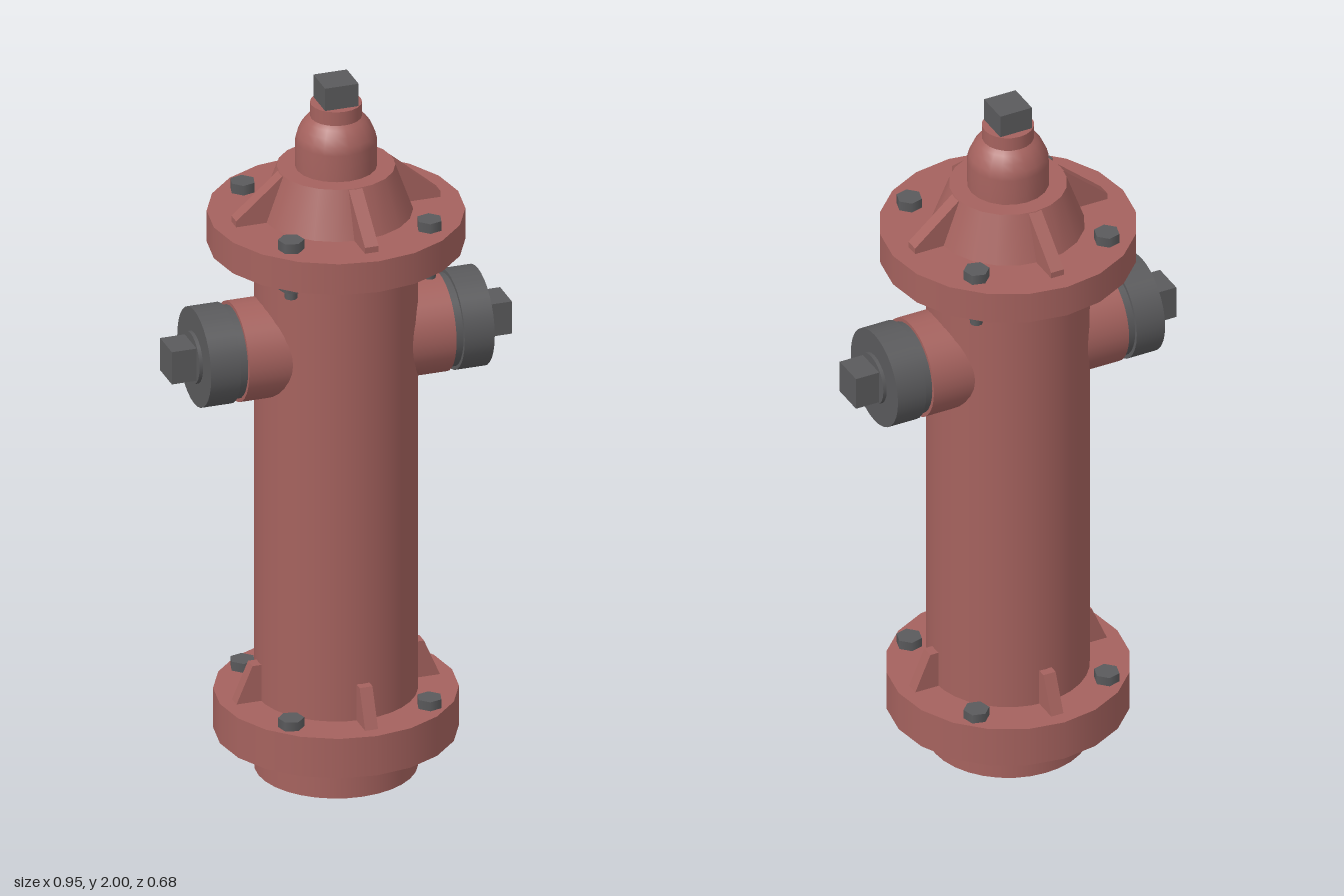
import * as THREE from 'three';

const red = new THREE.MeshStandardMaterial({ color: 0xa5625e, side: THREE.DoubleSide });
red.name = 'faded red paint';
const iron = new THREE.MeshStandardMaterial({ color: 0x5a5a5c });
iron.name = 'dark iron';

export function createModel() {
  const model = new THREE.Group();
  model.name = 'hydrant';

  const add = (name, geometry, material, parent = model) => {
    const mesh = new THREE.Mesh(geometry, material);
    mesh.name = name;
    parent.add(mesh);
    return mesh;
  };
  // Upright cylinder between two heights
  const drum = (name, rBottom, rTop, y0, y1, sides, material, parent = model, open = false) => {
    const mesh = add(name, new THREE.CylinderGeometry(rTop, rBottom, y1 - y0, sides, 1, open), material, parent);
    mesh.position.y = (y0 + y1) / 2;
    return mesh;
  };
  const nut = (name, y0, y1, parent = model) => {
    add(name, new THREE.BoxGeometry(0.094, y1 - y0, 0.094), iron, parent).position.y = (y0 + y1) / 2;
  };

  // Barrel, open underneath with a recessed floor
  drum('barrel', 0.217, 0.217, 0, 1.56, 32, red, model, true);
  const floor = add('barrelFloor', new THREE.CircleGeometry(0.216, 32), red);
  floor.rotation.x = Math.PI / 2;
  floor.position.y = 0.15;

  // Flange rings; the lower one is hollow so the barrel stays open
  const ring = [[0.21, 0.11], [0.325, 0.11], [0.325, 0.11], [0.325, 0.225], [0.325, 0.225], [0.21, 0.225]];
  add('baseFlange', new THREE.LatheGeometry(ring.map(p => new THREE.Vector2(...p)), 20), red);
  drum('topFlange', 0.342, 0.342, 1.53, 1.62, 20, red);

  // Bonnet, dome and collar
  drum('bonnet', 0.204, 0.157, 1.62, 1.75, 20, red);
  const dome = [[0.109, 1.74], [0.109, 1.825], [0.104, 1.846], [0.094, 1.868], [0.081, 1.886], [0.068, 1.896]];
  add('dome', new THREE.LatheGeometry(dome.map(p => new THREE.Vector2(...p)), 20), red);
  drum('collar', 0.069, 0.069, 1.89, 1.935, 20, red);
  nut('operatingNut', 1.93, 2);

  // Gussets: a side profile (radius, height) given thickness
  const gusset = (name, profile, width) => {
    const shape = new THREE.Shape(profile.map(p => new THREE.Vector2(...p)));
    const geometry = new THREE.ExtrudeGeometry(shape, { depth: width, bevelEnabled: false });
    geometry.translate(0, 0, -width / 2);
    for (let i = 0; i < 4; i++) add(name, geometry, red).rotation.y = i * Math.PI / 2;
  };
  gusset('bonnetRib', [[0.14, 1.61], [0.286, 1.61], [0.286, 1.637], [0.157, 1.748], [0.14, 1.748]], 0.038);
  gusset('baseRib', [[0.2, 0.22], [0.287, 0.22], [0.24, 0.33], [0.2, 0.33]], 0.036);

  // Flange bolts on the diagonals
  for (let i = 0; i < 4; i++) {
    const bolts = new THREE.Group();
    bolts.name = 'boltSet';
    bolts.rotation.y = Math.PI / 4 + i * Math.PI / 2;
    model.add(bolts);
    const parts = [
      drum('baseBolt', 0.035, 0.035, 0.225, 0.251, 6, iron, bolts),
      drum('topBolt', 0.035, 0.035, 1.62, 1.648, 6, iron, bolts),
      drum('boltNut', 0.033, 0.033, 1.503, 1.53, 6, iron, bolts),
      drum('boltShank', 0.017, 0.017, 1.478, 1.503, 10, iron, bolts),
    ];
    for (const part of parts) part.position.z = 0.274;
  }

  // Side outlets, built upright and turned outward
  for (const side of [1, -1]) {
    const outlet = new THREE.Group();
    outlet.name = side > 0 ? 'leftOutlet' : 'rightOutlet';
    outlet.position.y = 1.25;
    outlet.rotation.z = -side * Math.PI / 2;
    model.add(outlet);
    drum('outletPipe', 0.136, 0.136, 0.1, 0.29, 32, red, outlet);
    drum('outletGroove', 0.126, 0.126, 0.285, 0.315, 32, iron, outlet);
    drum('outletCap', 0.136, 0.136, 0.313, 0.397, 32, iron, outlet);
    drum('capBoss', 0.071, 0.071, 0.397, 0.407, 24, iron, outlet);
    nut('capNut', 0.4, 0.476, outlet);
  }
  return model;
}
